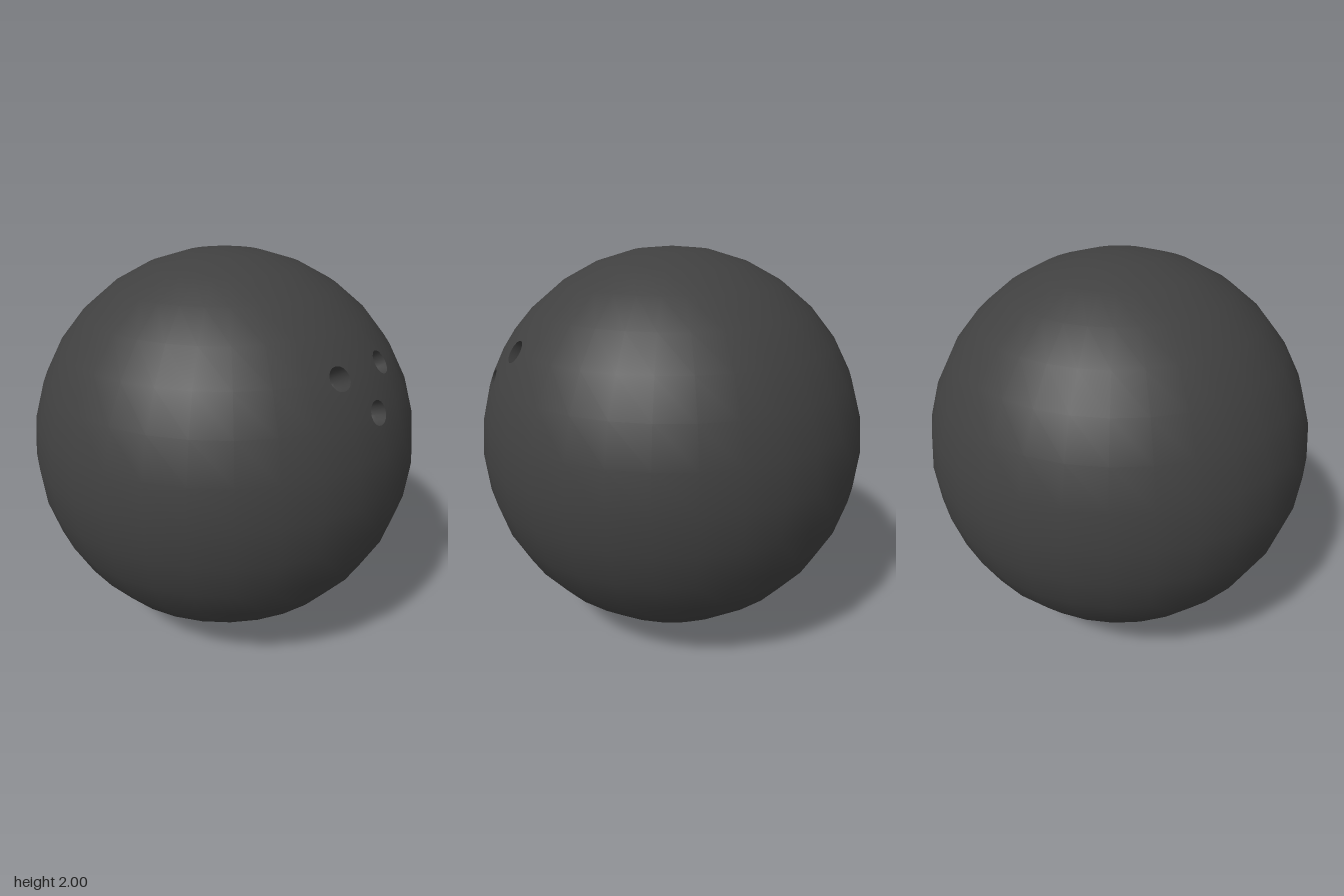
import * as THREE from 'three';

const STEP = Math.PI / 16; // 32 segments round, 16 rings
const HOLE_RADIUS = 0.058;
const ARC = 4; // rim segments per grid cell
// finger holes, each centred on a grid corner (longitude, latitude in steps)
const HOLES = [[3, 3], [1, 3], [2, 2]];

// point on the unit sphere
function onSphere(lon, lat) {
  return new THREE.Vector3(Math.cos(lat) * Math.cos(lon), Math.sin(lat), Math.cos(lat) * Math.sin(lon));
}

// point on the rim of a hole, in longitude and latitude
function rimPoint([i, j], angle) {
  return new THREE.Vector2(
    i * STEP + HOLE_RADIUS * Math.cos(angle) / Math.cos(j * STEP),
    j * STEP + HOLE_RADIUS * Math.sin(angle));
}

// outline of one grid cell, with an arc cut out at corners that carry a hole
function cellOutline(i, j) {
  const outline = [];
  [[0, 0], [1, 0], [1, 1], [0, 1]].forEach(([di, dj], k) => {
    const corner = [i + di, j + dj];
    if (HOLES.some(h => h[0] === corner[0] && h[1] === corner[1])) {
      for (let s = 0; s <= ARC; s++) outline.push(rimPoint(corner, (k + 1 - s / ARC) * Math.PI / 2));
    } else {
      outline.push(new THREE.Vector2(corner[0] * STEP, corner[1] * STEP));
    }
  });
  return outline;
}

// smooth ball surface, open at the finger holes
function ballGeometry() {
  const positions = [], normals = [];
  const normal = new THREE.Vector3();
  for (let i = 0; i < 32; i++) {
    for (let j = -8; j < 8; j++) {
      const outline = cellOutline(i, j);
      const points = outline.map(p => onSphere(p.x, p.y));
      for (const face of THREE.ShapeUtils.triangulateShape(outline, [])) {
        const tri = face.map(n => points[n]);
        normal.subVectors(tri[1], tri[0]).cross(tri[2].clone().sub(tri[0]));
        if (normal.length() < 1e-8) continue; // collapsed at a pole
        if (normal.dot(tri[0]) < 0) tri.reverse();
        for (const p of tri) {
          positions.push(p.x, p.y, p.z);
          normals.push(p.x, p.y, p.z);
        }
      }
    }
  }
  const geometry = new THREE.BufferGeometry();
  geometry.setAttribute('position', new THREE.Float32BufferAttribute(positions, 3));
  geometry.setAttribute('normal', new THREE.Float32BufferAttribute(normals, 3));
  return geometry;
}

// round-bottomed lining from the rim inwards: rows of [width, depth]
function holeGeometry(hole) {
  const rows = [[1, 0], [0.98, 0.05], [0.9, 0.1], [0.65, 0.135], [0.02, 0.15]];
  const sides = ARC * 4;
  const axis = onSphere(hole[0] * STEP, hole[1] * STEP);
  const positions = [], index = [];
  rows.forEach(([width, depth], r) => {
    for (let s = 0; s < sides; s++) {
      const uv = rimPoint(hole, s / sides * Math.PI * 2);
      const rim = onSphere(uv.x, uv.y);
      const p = axis.clone().lerp(rim, width).addScaledVector(axis, -depth);
      positions.push(p.x, p.y, p.z);
      if (r === 0) continue;
      const a = (r - 1) * sides + s, b = (r - 1) * sides + (s + 1) % sides;
      index.push(a, b, a + sides, b, b + sides, a + sides);
    }
  });
  const geometry = new THREE.BufferGeometry();
  geometry.setAttribute('position', new THREE.Float32BufferAttribute(positions, 3));
  geometry.setIndex(index);
  geometry.computeVertexNormals();
  return geometry;
}

export function createModel() {
  const group = new THREE.Group();
  group.name = 'bowlingBall';
  const shell = new THREE.MeshStandardMaterial({ color: 0x404040 });
  const lining = new THREE.MeshStandardMaterial({ color: 0x404040, side: THREE.DoubleSide });

  const ball = new THREE.Mesh(ballGeometry(), shell);
  ball.name = 'ball';
  group.add(ball);

  HOLES.forEach((hole, n) => {
    const mesh = new THREE.Mesh(holeGeometry(hole), lining);
    mesh.name = `fingerHole${n + 1}`;
    group.add(mesh);
  });

  // stand the ball on the ground
  group.children.forEach(mesh => { mesh.position.y = 1; });
  return group;
}
